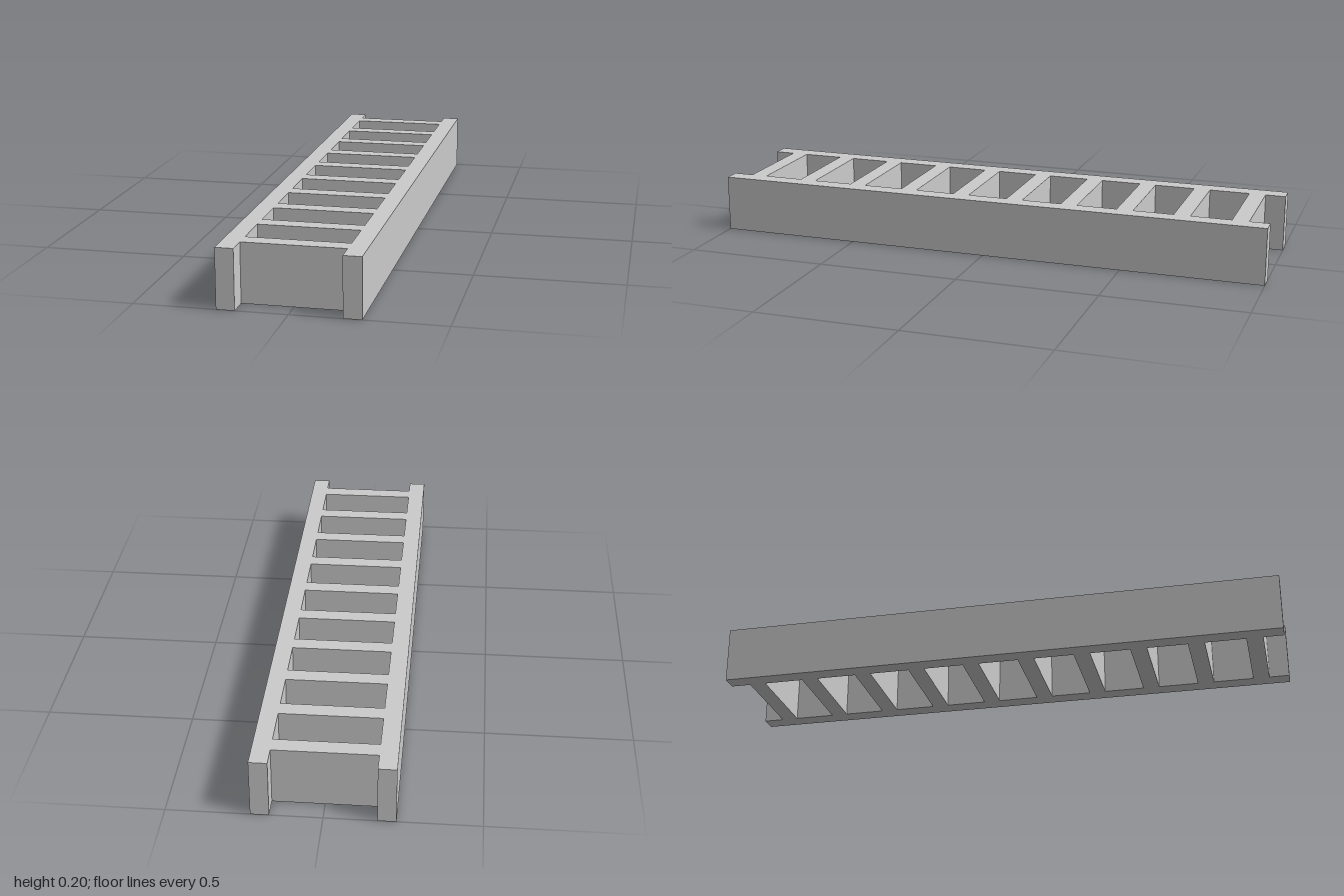
import * as THREE from 'three';

const HALF_LENGTH = 1, HEIGHT = 0.2;
const OUTER = 0.23, INNER = 0.17;            // rail faces, measured from the centre line
const RUNGS = 10, PITCH = 0.2, HALF_RUNG = 0.029;

const points = (list) => list.map(([x, y]) => new THREE.Vector2(x, y));

export function createModel() {
  const group = new THREE.Group();
  group.name = 'ladder';
  const material = new THREE.MeshStandardMaterial({ color: 0xcccccc, flatShading: true });

  // Plan outline: two rails running past the first and last rung
  const rungCentre = (i) => (i - (RUNGS - 1) / 2) * PITCH;
  const end = rungCentre(RUNGS - 1) + HALF_RUNG;
  const plan = new THREE.Shape(points([
    [-OUTER, -HALF_LENGTH], [-INNER, -HALF_LENGTH], [-INNER, -end], [INNER, -end],
    [INNER, -HALF_LENGTH], [OUTER, -HALF_LENGTH], [OUTER, HALF_LENGTH], [INNER, HALF_LENGTH],
    [INNER, end], [-INNER, end], [-INNER, HALF_LENGTH], [-OUTER, HALF_LENGTH],
  ]));

  // Openings between neighbouring rungs
  for (let i = 0; i < RUNGS - 1; i++) {
    const a = rungCentre(i) + HALF_RUNG, b = rungCentre(i + 1) - HALF_RUNG;
    plan.holes.push(new THREE.Path(points([[-INNER, a], [-INNER, b], [INNER, b], [INNER, a]])));
  }

  // Rails and rungs form one solid, laid flat on the ground
  const geometry = new THREE.ExtrudeGeometry(plan, { depth: HEIGHT, bevelEnabled: false });
  geometry.rotateX(-Math.PI / 2);
  const frame = new THREE.Mesh(geometry, material);
  frame.name = 'railsAndRungs';
  group.add(frame);
  return group;
}
